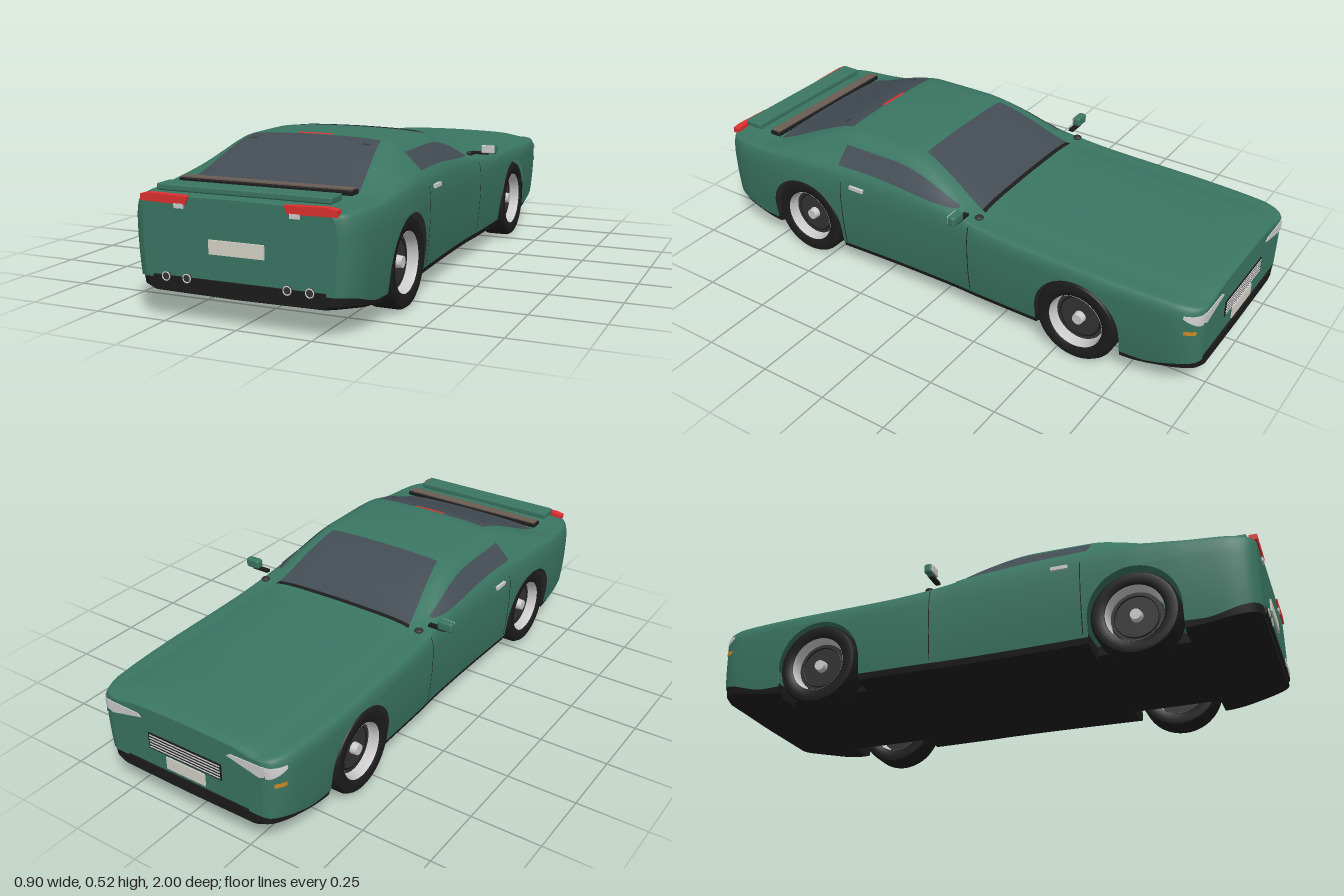
import * as THREE from 'three';
import { toCreasedNormals } from 'three/addons/utils/BufferGeometryUtils.js';
import { RoundedBoxGeometry } from 'three/addons/geometries/RoundedBoxGeometry.js';

const paint = (color) => new THREE.MeshStandardMaterial({ color, side: THREE.DoubleSide });
const green = paint(0x3a7562), black = paint(0x1c1c1c), dark = paint(0x333333), glass = paint(0x434c54);
const red = paint(0xdd3030), pale = paint(0xd6d3c8), grey = paint(0xcccccc), amber = paint(0xd08a20), brown = paint(0x6b5d52);

const AXLES = [-0.575, 0.585], WHEEL_Y = 0.15, ARCH = 0.16, NOSE = -0.997, TAIL = 0.987;

// Body stations: z, half width, shoulder height, top height, half width of the top
const KEYS = [
  [-1, .30, .335, .352, .26], [-.99, .335, .34, .363, .28], [-.96, .36, .345, .37, .30],
  [-.9, .375, .35, .374, .31], [-.65, .387, .355, .378, .315], [-.3, .385, .362, .386, .315],
  [-.16, .383, .372, .393, .315], [-.1, .38, .38, .415, .305], [0, .379, .39, .463, .295],
  [.1, .38, .395, .502, .28], [.2, .382, .398, .518, .275], [.42, .39, .4, .52, .27],
  [.5, .395, .4, .508, .27], [.6, .4, .395, .472, .285], [.7, .4, .387, .43, .30],
  [.78, .397, .38, .405, .31], [.9, .386, .375, .398, .31], [.95, .37, .372, .395, .305],
  [.975, .35, .37, .393, .295], [.99, .32, .365, .389, .28],
];

// Smooth interpolation between stations
function station(z) {
  let i = 0;
  while (i < KEYS.length - 2 && z > KEYS[i + 1][0]) i++;
  const a = KEYS[i], b = KEYS[i + 1], p = KEYS[Math.max(i - 1, 0)], n = KEYS[Math.min(i + 2, KEYS.length - 1)];
  const h = b[0] - a[0], t = THREE.MathUtils.clamp((z - a[0]) / h, 0, 1);
  return [1, 2, 3, 4].map((k) => {
    const slope = (b[k] - a[k]) / h;
    const tame = (m) => (m * slope <= 0 ? 0 : Math.sign(m) * Math.min(Math.abs(m), 3 * Math.abs(slope)));
    const m0 = tame((b[k] - p[k]) / (b[0] - p[0])) * h, m1 = tame((n[k] - a[k]) / (n[0] - a[0])) * h;
    const t2 = t * t, t3 = t2 * t;
    return (2 * t3 - 3 * t2 + 1) * a[k] + (t3 - 2 * t2 + t) * m0 + (3 * t2 - 2 * t3) * b[k] + (t3 - t2) * m1;
  });
}

const sill = (z) => 0.09 + 0.042 * THREE.MathUtils.smoothstep(Math.abs(z), 0.8, 0.99);

// Half cross-section from the lower edge up to the middle of the top
function halfSection(z, low = sill(z)) {
  const [w, ys, yt, wr] = station(z);
  const split = Math.min(0.315, ys - 0.04), pts = [];
  for (let j = 0; j < 8; j++) {
    const y = THREE.MathUtils.lerp(low, split, j / 8);
    pts.push([w * (1 - Math.max(0.3 - y, 0) ** 2), y]);
  }
  const sx = w * 0.96, cy = yt - 0.018;
  const curve = new THREE.CatmullRomCurve3([
    [w, split], [w * 0.988, THREE.MathUtils.lerp(split, ys, 0.6)], [sx, ys], [(sx + wr) / 2 + 0.004, (ys + cy) / 2 + 0.002],
    [wr, cy], [wr * 0.75, yt - 0.006], [wr * 0.3, yt - 0.001], [0, yt],
  ].map(([x, y]) => new THREE.Vector3(x, y, 0)));
  for (let j = 0; j <= 28; j++) { const p = curve.getPoint(j / 28); pts.push([p.x, p.y]); }
  return pts;
}

const mirrored = (half) => [...half, ...half.slice(0, -1).reverse().map(([x, y]) => [-x, y])];

// Surface look-ups, used to lay panels on the body
function topY(x, z) {
  const s = halfSection(z), ax = Math.abs(x);
  let i = s.length - 1;
  while (i > 1 && s[i - 1][0] < ax) i--;
  return THREE.MathUtils.lerp(s[i][1], s[i - 1][1], (ax - s[i][0]) / (s[i - 1][0] - s[i][0]));
}
function sideX(y, z) {
  const s = halfSection(z);
  let i = 0;
  while (i < s.length - 2 && s[i + 1][1] < y) i++;
  return THREE.MathUtils.lerp(s[i][0], s[i + 1][0], (y - s[i][1]) / (s[i + 1][1] - s[i][1]));
}

// Surface through equal-length rows of points
function loft(rows) {
  const n = rows[0].length, index = [];
  for (let r = 0; r < rows.length - 1; r++) for (let c = 0; c < n - 1; c++) {
    const a = r * n + c, b = a + n;
    index.push(a, a + 1, b, b, a + 1, b + 1);
  }
  const g = new THREE.BufferGeometry();
  g.setAttribute('position', new THREE.Float32BufferAttribute(rows.flat(2), 3));
  g.setIndex(index);
  g.computeVertexNormals();
  return g;
}
const grid = (nu, nv, f) => loft(Array.from({ length: nu + 1 }, (_, i) =>
  Array.from({ length: nv + 1 }, (_, j) => f(i / nu, j / nv))));
const outline = (pts) => new THREE.Shape(pts.map(([x, y]) => new THREE.Vector2(x, y)));

export function createModel() {
  const car = new THREE.Group();
  car.name = 'car';
  const add = (name, geo, mat, x = 0, y = 0, z = 0, parent = car) => {
    const m = new THREE.Mesh(geo, mat);
    m.name = name;
    m.position.set(x, y, z);
    parent.add(m);
    return m;
  };
  const box = (name, mat, w, h, d, x, y, z) => add(name, new THREE.BoxGeometry(w, h, d), mat, x, y, z);

  // Stations along the car, doubled at the edges of the wheel arches
  const stops = [NOSE, AXLES[0] - ARCH, AXLES[0] + ARCH, AXLES[1] - ARCH, AXLES[1] + ARCH, TAIL];
  const shell = [], tray = [];
  for (let s = 0; s < 5; s++) {
    const inArch = s % 2 === 1, steps = s === 2 ? 48 : 26;
    for (let i = 0; i <= steps; i++) {
      const z = THREE.MathUtils.lerp(stops[s], stops[s + 1], 0.5 - 0.5 * Math.cos(Math.PI * i / steps));
      const dz = inArch ? z - AXLES[(s - 1) / 2] : 0;
      const low = inArch ? WHEEL_Y + Math.sqrt(Math.max(ARCH * ARCH - dz * dz, 0)) : sill(z);
      shell.push(mirrored(halfSection(z, low)).map(([x, y]) => [x, y, z]));
      const w = inArch ? 0.265 : station(z)[0] * 0.955;
      const y0 = 0.055 + 0.035 * THREE.MathUtils.smoothstep(Math.abs(z), 0.75, 1);
      tray.push(mirrored([[w, sill(z) + 0.012], [w * 0.98, y0 + 0.015], [w * 0.9, y0 + 0.003], [0, y0]]).map(([x, y]) => [x, y, z]));
    }
  }
  add('bodyShell', loft(shell), green);
  add('underTray', toCreasedNormals(loft(tray), 0.6), black);
  for (const [end, i] of [['nose', 0], ['tail', shell.length - 1]]) {
    add(end + 'Panel', new THREE.ShapeGeometry(outline(shell[i])), green, 0, 0, shell[i][0][2]);
    add(end + 'Valance', new THREE.ShapeGeometry(outline(tray[i])), black, 0, 0, shell[i][0][2]);
  }

  // Panels laid on the top and the sides
  const topPanel = (name, mat, z0, w0, z1, w1, lift = 0.004, cx = 0) => add(name, grid(20, 20, (u, v) => {
    const z = THREE.MathUtils.lerp(z0, z1, u), x = cx + (2 * v - 1) * THREE.MathUtils.lerp(w0, w1, u);
    return [x, topY(x, z) + lift, z];
  }), mat);
  const sidePanel = (name, mat, side, z0, z1, lowY, highY, lift = 0.004) => add(name, grid(20, 10, (u, v) => {
    const z = THREE.MathUtils.lerp(z0, z1, u), y = THREE.MathUtils.lerp(lowY(z), highY(z), v);
    return [side * (sideX(y, z) + lift), y, z];
  }), mat);
  topPanel('windscreen', glass, -0.145, 0.285, 0.125, 0.23);
  topPanel('rearWindow', glass, 0.455, 0.235, 0.77, 0.295);
  topPanel('cowlStrip', black, -0.16, 0.29, -0.145, 0.285);
  topPanel('highBrakeLight', red, 0.448, 0.062, 0.462, 0.062, 0.007);

  // Rear deck
  box('deckStrip', brown, 0.59, 0.014, 0.036, 0, 0.41, 0.8);
  add('deckStripBase', new RoundedBoxGeometry(0.6, 0.016, 0.046, 2, 0.004), black, 0, 0.405, 0.8);
  add('spoiler', new RoundedBoxGeometry(0.59, 0.022, 0.075, 3, 0.006), green, 0, 0.406, 0.918);

  // Tail and nose fittings
  box('rearPlate', pale, 0.186, 0.044, 0.008, 0, 0.244, TAIL + 0.002);
  box('frontPlate', pale, 0.16, 0.045, 0.008, 0, 0.175, NOSE);
  box('rearDiffuser', black, 0.58, 0.024, 0.012, 0, 0.13, TAIL);
  box('grille', black, 0.3, 0.06, 0.006, 0, 0.235, NOSE);
  for (let i = 0; i < 5; i++) box('grilleBar', grey, 0.29, 0.004, 0.008, 0, 0.213 + i * 0.011, NOSE - 0.001);
  box('frontIntake', black, 0.5, 0.02, 0.01, 0, 0.13, NOSE);

  for (const s of [1, -1]) {
    const flat = (name, mat, pts, z, depth) => add(name, new THREE.ExtrudeGeometry(
      outline(pts.map(([x, y]) => [s * x, y])), { depth, bevelEnabled: false }), mat, 0, 0, z);
    flat('tailLight', red, [[.16, .39], [.172, .364], [.33, .368], [.33, .388], [.3, .393]], 0.965, 0.027);
    flat('headlight', grey, [[.175, .312], [.3, .283], [.318, .29], [.318, .325], [.19, .322]], NOSE - 0.003, 0.012);
    sidePanel('headlightWrap', grey, s, -0.996, -0.945, (z) => 0.283 + (z + 0.996) * 0.6, () => 0.325);
    sidePanel('indicator', amber, s, -0.985, -0.95, () => 0.253, () => 0.268);
    box('reverseLight', grey, 0.032, 0.015, 0.008, s * 0.195, 0.36, TAIL + 0.002);
    for (const x of [0.17, 0.243]) {
      const pipe = add('exhaust', new THREE.CylinderGeometry(0.013, 0.013, 0.05, 20), dark, s * x, 0.14, 0.97);
      pipe.rotation.x = Math.PI / 2;
      add('exhaustRim', new THREE.TorusGeometry(0.013, 0.002, 8, 24), grey, s * x, 0.14, 0.996);
    }

    // Side glass, door seams and handle
    sidePanel('sideWindow', glass, s, -0.08, 0.43,
      (z) => 0.398 + 0.02 * THREE.MathUtils.smoothstep(z, -0.08, 0.3),
      (z) => 0.402 + 0.074 * Math.sin(Math.PI / 2 * THREE.MathUtils.clamp((z + 0.08) / 0.3, 0, 1)));
    for (const z of [-0.145, 0.408]) sidePanel('doorSeam', black, s, z - 0.0015, z + 0.0015, () => 0.1, () => 0.365, 0.0015);
    box('doorHandle', grey, 0.014, 0.013, 0.06, s * (sideX(0.357, 0.335) + 0.002), 0.357, 0.335);

    // Door mirror
    add('mirrorHousing', new RoundedBoxGeometry(0.058, 0.036, 0.03, 3, 0.009), green, s * 0.419, 0.417, -0.125);
    add('mirrorGlass', new RoundedBoxGeometry(0.05, 0.029, 0.006, 2, 0.003), grey, s * 0.419, 0.417, -0.11);
    box('mirrorArm', black, 0.065, 0.009, 0.018, s * 0.385, 0.4, -0.125);
    add('washerCap', new THREE.SphereGeometry(0.016, 14, 8), dark, s * 0.335, 0.39, -0.165).scale.y = 0.5;
    topPanel('glassMount', dark, 0.505, 0.012, 0.515, 0.012, 0.006, s * 0.205);

    // Wheels: tyre, open pale barrel, dark disc and hub
    const profile = (pts) => new THREE.LatheGeometry(pts.map(([r, y]) => new THREE.Vector2(r, y)), 48);
    for (const z of AXLES) {
      const wheel = new THREE.Group();
      wheel.name = 'wheel';
      wheel.position.set(s * 0.332, WHEEL_Y, z);
      wheel.rotation.z = -s * Math.PI / 2;
      car.add(wheel);
      add('tyre', toCreasedNormals(profile([[.1, -.045], [.105, -.05], [.13, -.053], [.143, -.05], [.15, -.038],
        [.15, .038], [.143, .05], [.13, .053], [.105, .05], [.1, .045]]), 0.7), black, 0, 0, 0, wheel);
      add('rimBarrel', profile([[.1, -.047], [.096, -.03], [.096, .03], [.1, .047]]), grey, 0, 0, 0, wheel);
      add('wheelDisc', new THREE.CylinderGeometry(0.089, 0.089, 0.014, 40), dark, 0, 0.005, 0, wheel);
      add('discRing', new THREE.TorusGeometry(0.075, 0.003, 6, 40), black, 0, 0.012, 0, wheel).rotation.x = Math.PI / 2;
      add('hub', new THREE.CylinderGeometry(0.019, 0.022, 0.03, 24), grey, 0, 0.02, 0, wheel);
      add('stubAxle', new THREE.CylinderGeometry(0.02, 0.02, 0.12, 16), dark, 0, -0.06, 0, wheel);
    }
  }
  return car;
}
